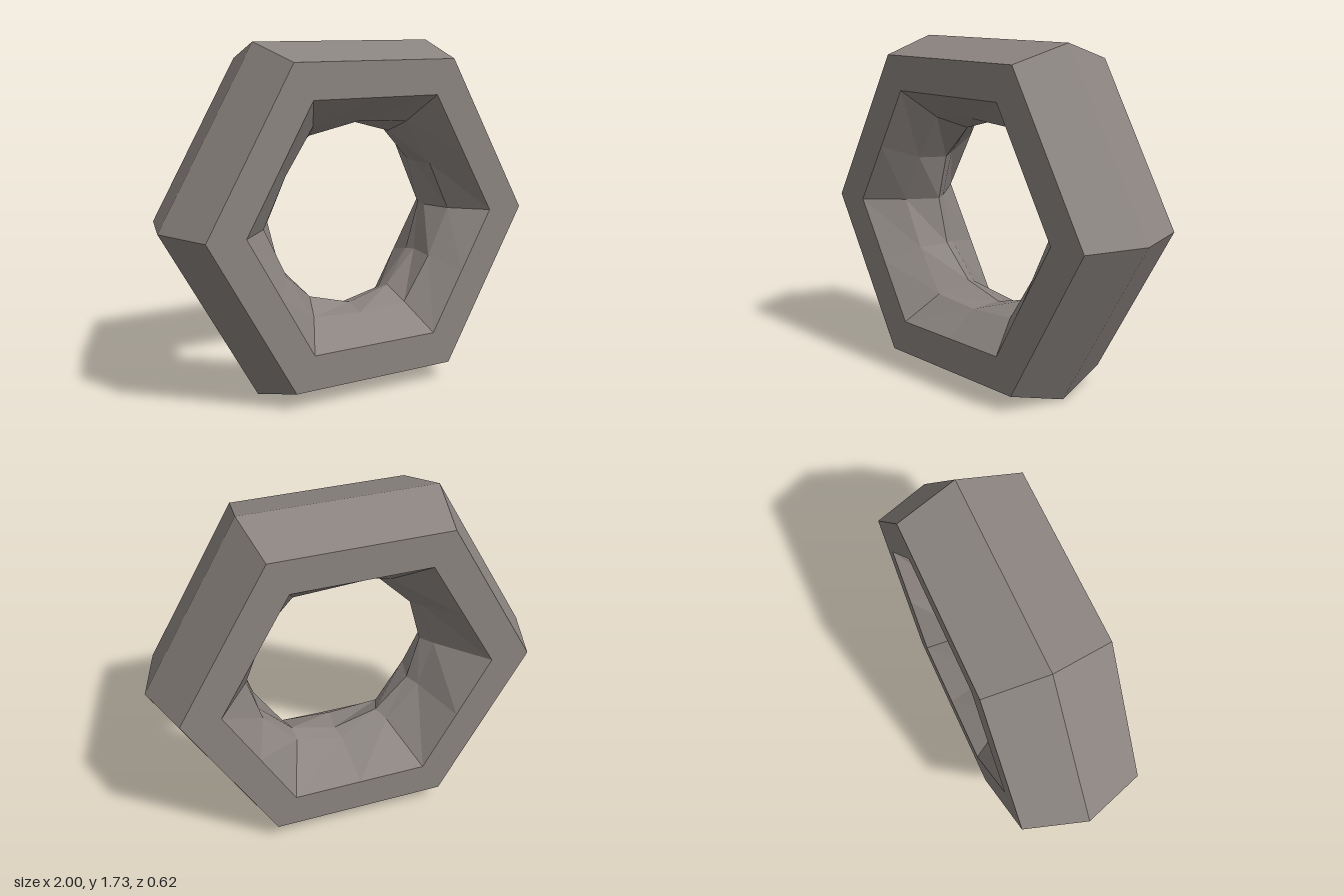
import * as THREE from 'three';

const SIDES = 12;
const CENTRE_Y = Math.sqrt(3) / 2;

// Ring of 12 points: corner radius, edge-midpoint radius, depth and sideways shift
function ring(corner, middle, z, shift = 0) {
  return Array.from({ length: SIDES }, (_, j) => {
    const angle = (j / SIDES) * Math.PI * 2;
    const r = j % 2 ? middle : corner;
    return [shift + r * Math.cos(angle), CENTRE_Y + r * Math.sin(angle), z];
  });
}

// A true hexagon, with its edge midpoints
const hexRing = (r, z) => ring(r, r * CENTRE_Y, z);

// Skin consecutive rings; unshared corners give flat facets
function loft(rings) {
  const positions = [];
  for (let i = 0; i < rings.length - 1; i++) {
    for (let j = 0; j < SIDES; j++) {
      const k = (j + 1) % SIDES;
      const a = rings[i][j], b = rings[i][k];
      const c = rings[i + 1][j], d = rings[i + 1][k];
      positions.push(...a, ...c, ...b, ...b, ...c, ...d);
    }
  }
  const geometry = new THREE.BufferGeometry();
  geometry.setAttribute('position', new THREE.Float32BufferAttribute(positions, 3));
  geometry.computeVertexNormals();
  return geometry;
}

export function createModel() {
  const group = new THREE.Group();
  group.name = 'hexNut';
  const metal = new THREE.MeshStandardMaterial({ color: 0x8b8480 });
  metal.name = 'warm grey metal';
  metal.flatShading = true;

  const frontHole = hexRing(0.7, 0.31);
  const backHole = hexRing(0.7, -0.31);

  // Front face, ridged rim and back face
  const body = new THREE.Mesh(loft([
    frontHole,
    hexRing(0.9, 0.31),
    hexRing(1, 0),
    hexRing(0.9, -0.31),
    backHole,
  ]), metal);
  body.name = 'outerBody';

  // Hole narrowing from hexagons to a slightly off-centre waist
  const bore = new THREE.Mesh(loft([
    backHole,
    ring(0.5, 0.49, -0.07, 0.015),
    ring(0.47, 0.47, 0, 0.035),
    ring(0.54, 0.485, 0.15, 0.008),
    frontHole,
  ]), metal);
  bore.name = 'innerBore';

  group.add(body, bore);
  return group;
}
